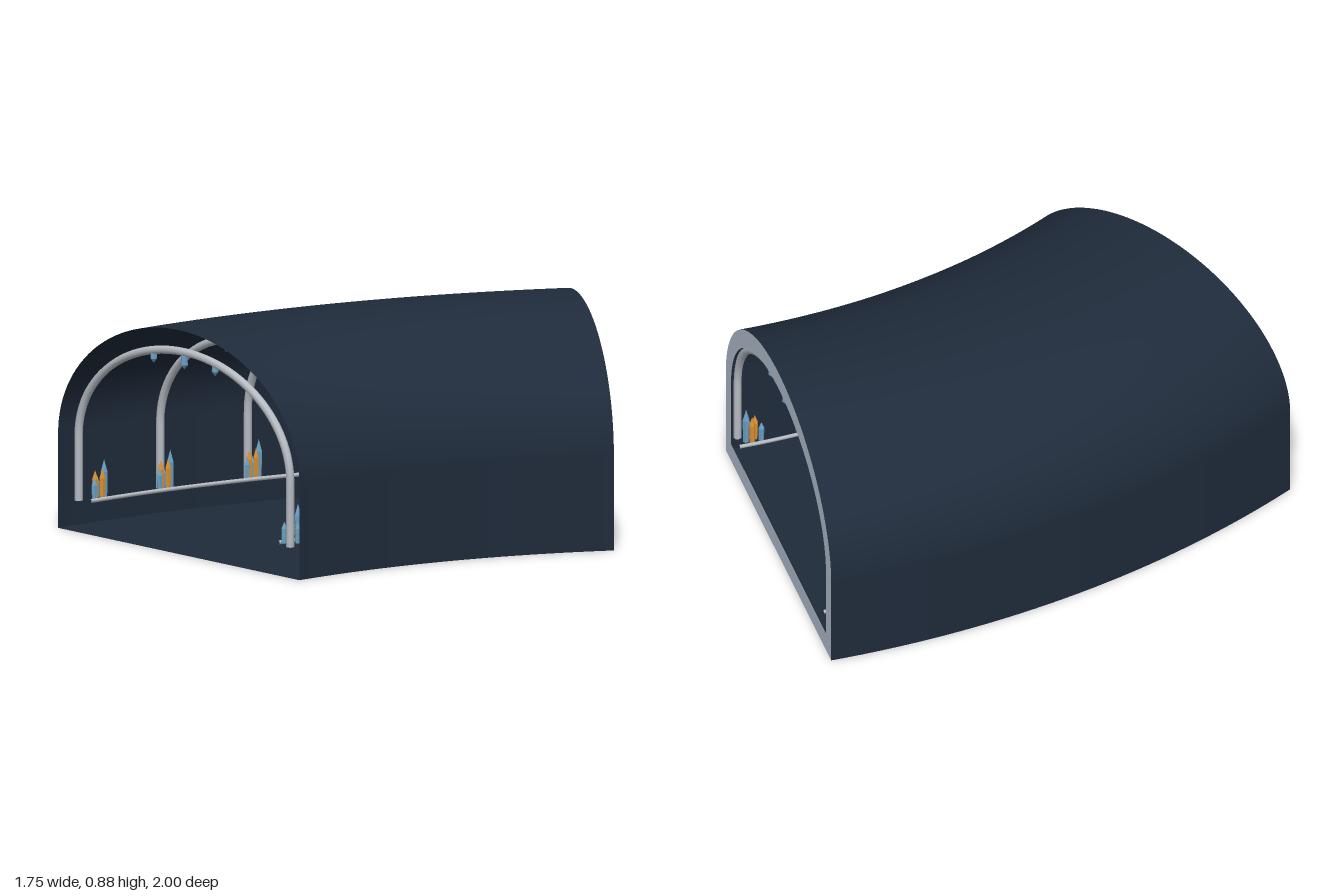
import * as THREE from 'three';
import { ParametricGeometry } from 'three/addons/geometries/ParametricGeometry.js';

// The tunnel bends about a vertical axis at (CX, CZ)
const CX = 3.12, CZ = 1, R = 3.3, BEND = Math.PI / 6;
const HALF = 0.7, TOP = 0.875, SPRING = 0.37;
const rad = THREE.MathUtils.degToRad;

const mat = (name, color, side = THREE.FrontSide) => {
  const m = new THREE.MeshStandardMaterial({ color, side });
  m.name = name;
  return m;
};

// Point at bend angle a, sideways offset s and height y
const place = (a, s, y, target = new THREE.Vector3()) =>
  target.set(CX - (R - s) * Math.cos(a), y, CZ - (R - s) * Math.sin(a));

// Arch profile from left foot over the top to right foot, t in 0..1
function archPoint(t, w, top, base) {
  const k = 0.15;
  if (t < k) return [-w, base + (SPRING - base) * t / k];
  if (t > 1 - k) return [w, base + (SPRING - base) * (1 - t) / k];
  const a = Math.PI * (t - k) / (1 - 2 * k);
  return [-w * Math.cos(a), SPRING + (top - SPRING) * Math.sin(a)];
}

function archOutline(path, w, top, base) {
  path.moveTo(-w, base);
  path.lineTo(w, base);
  path.lineTo(w, SPRING);
  path.absellipse(0, SPRING, w, top - SPRING, 0, Math.PI, false);
  path.closePath();
  return path;
}

export function createModel() {
  const model = new THREE.Group();
  model.name = 'curvedTunnel';
  const dark = mat('darkSlate', 0x1f2b3b, THREE.DoubleSide);
  const pale = mat('paleStone', 0xb8c6d6, THREE.DoubleSide);
  const grey = mat('ribGrey', 0xb9bec5);
  const blue = mat('crystalBlue', 0x6aa0c4);
  const amber = mat('crystalAmber', 0xd9902f);

  const add = (parent, name, geo, material) => {
    const m = new THREE.Mesh(geo, material);
    m.name = name;
    parent.add(m);
    return m;
  };
  // Group standing across the tunnel at bend angle a
  const station = (name, a) => {
    const g = new THREE.Group();
    g.name = name;
    place(a, 0, 0, g.position);
    g.rotation.y = -a;
    model.add(g);
    return g;
  };

  // Shell and floor
  add(model, 'shell', new ParametricGeometry((u, v, p) => {
    const [s, y] = archPoint(u, HALF, TOP, 0);
    place(v * BEND, s, y, p);
  }, 80, 32), dark);
  add(model, 'floor', new ParametricGeometry((u, v, p) => {
    place(v * BEND, HALF * (1 - 2 * u), 0, p);
  }, 4, 32), dark);

  // Pale frame closing the edge of the far end
  const frame = archOutline(new THREE.Shape(), HALF, TOP, 0);
  frame.holes.push(archOutline(new THREE.Path(), 0.63, 0.8, 0.08));
  add(station('farEnd', BEND), 'endFrame', new THREE.ShapeGeometry(frame, 48), pale);

  // Faceted crystal of unit height and radius
  const crystal = new THREE.LatheGeometry([
    new THREE.Vector2(0, 0), new THREE.Vector2(0.9, 0),
    new THREE.Vector2(1, 0.68), new THREE.Vector2(0, 1),
  ], 6).toNonIndexed();
  crystal.computeVertexNormals();

  // Ribs, each with three crystals hanging from it
  const ribPoints = [];
  for (let i = 0; i <= 60; i++) {
    ribPoints.push(new THREE.Vector3(...archPoint(i / 60, 0.62, 0.785, 0.115), 0));
  }
  const ribGeo = new THREE.TubeGeometry(new THREE.CatmullRomCurve3(ribPoints), 90, 0.016, 8);
  for (let i = 0; i < 6; i++) {
    const g = station('ribStation', rad(0.5 + 5.8 * i));
    add(g, 'rib', ribGeo, grey);
    for (const s of [-0.18, 0, 0.18]) {
      const c = add(g, 'hangingCrystal', crystal, blue);
      c.position.set(s, 0.772, 0);
      c.rotation.x = Math.PI;
      c.scale.set(0.014, 0.055, 0.014);
    }
  }

  // Low rails and crystal clusters along both walls
  const cluster = [ // sideways, along, height, radius, material
    [0.012, 0.032, 0.085, 0.012, blue],
    [-0.008, 0.012, 0.11, 0.013, amber],
    [0.014, -0.006, 0.12, 0.012, amber],
    [0, -0.026, 0.15, 0.014, blue],
    [-0.02, -0.008, 0.085, 0.011, blue],
  ];
  for (const side of [-1, 1]) {
    const pts = [];
    for (let i = 0; i <= 16; i++) pts.push(place(rad(0.5 + 29.3 * i / 16), side * 0.55, 0.122));
    add(model, side < 0 ? 'rightRail' : 'leftRail',
      new THREE.TubeGeometry(new THREE.CatmullRomCurve3(pts), 48, 0.008, 6), grey);

    for (const deg of [1.5, 6.2, 12.1, 17.9, 24, 28.5]) {
      const g = station('crystalCluster', rad(deg));
      for (const [x, z, h, r, m] of cluster) {
        const c = add(g, 'crystal', crystal, m);
        c.position.set(side * (0.58 - x), 0.12, z);
        c.scale.set(r, h, r);
      }
    }
  }
  return model;
}
